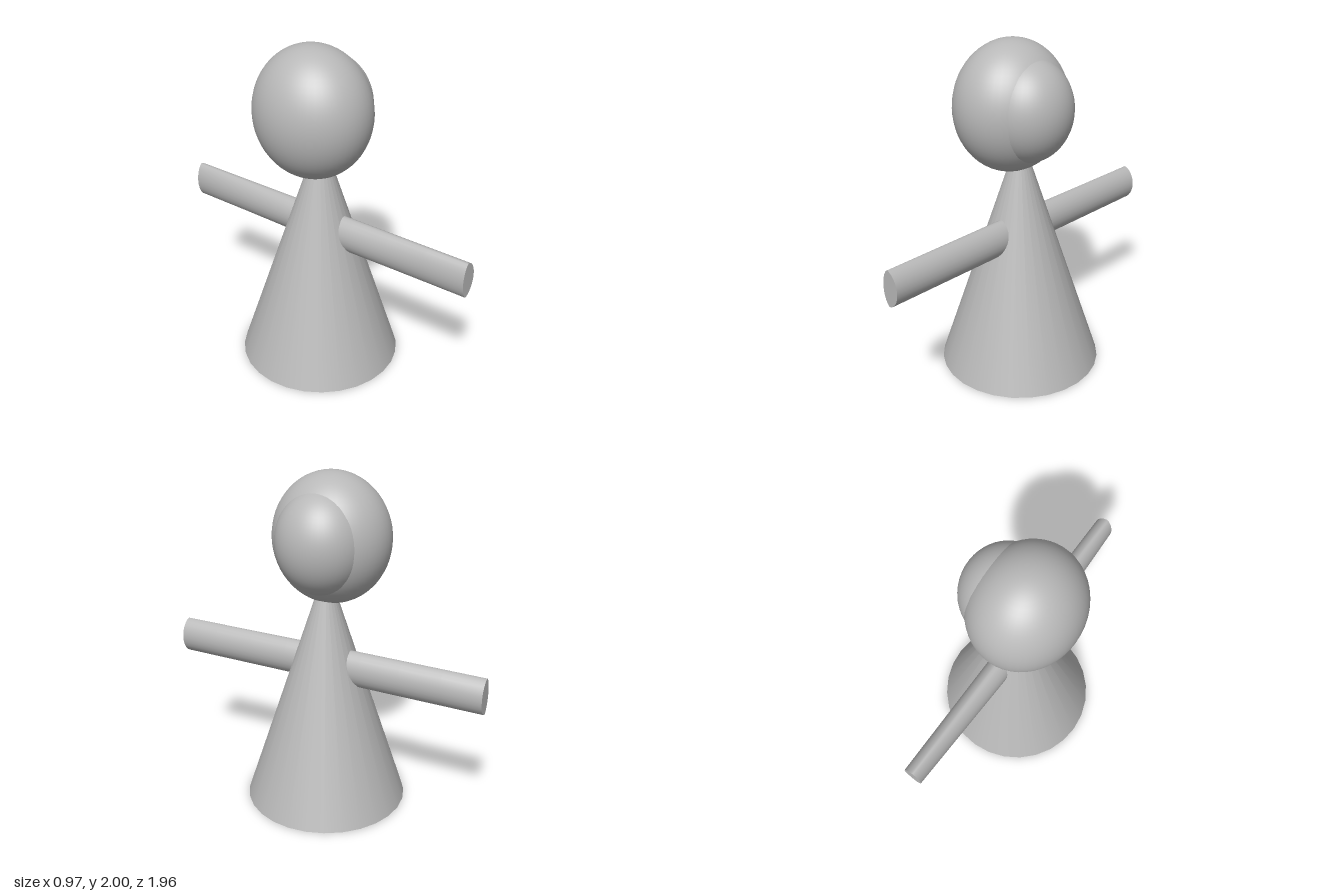
import * as THREE from 'three';

const ARM_REACH = 0.98;

// Ellipsoid from a unit sphere, with its poles at top and bottom.
function ellipsoid(name, material, center, radii) {
  const geometry = new THREE.SphereGeometry(1, 48, 32);
  geometry.scale(...radii);
  const mesh = new THREE.Mesh(geometry, material);
  mesh.name = name;
  mesh.position.set(...center);
  return mesh;
}

// One lens-shaped bar running through the body, swelling on its -x side near the middle.
function armGeometry() {
  const geometry = new THREE.CylinderGeometry(1, 1, 2 * ARM_REACH, 24, 8);
  geometry.rotateX(Math.PI / 2);
  const p = geometry.attributes.position;
  for (let i = 0; i < p.count; i++) {
    const x = p.getX(i);
    const swell = 0.082 - 0.039 * Math.abs(p.getZ(i));
    const lens = Math.sign(x) * Math.pow(Math.abs(x), 1.25);
    p.setX(i, 0.01 + lens * (x < 0 ? swell : 0.072));
    p.setY(i, 0.872 + 0.11 * p.getY(i));
  }
  geometry.computeVertexNormals();
  return geometry;
}

export function createModel() {
  const model = new THREE.Group();
  model.name = 'figurine';
  const clay = new THREE.MeshStandardMaterial({ color: 0xb8b8b8 });
  clay.name = 'grey clay';

  // Conical body, its tip buried in the head
  const body = new THREE.Mesh(new THREE.ConeGeometry(0.486, 1.48, 28), clay);
  body.name = 'body';
  body.position.y = 0.74;

  // Both arms
  const arms = new THREE.Mesh(armGeometry(), clay);
  arms.name = 'arms';

  // Head with the smaller face bulging out to +x
  const head = ellipsoid('head', clay, [-0.068, 1.62, 0], [0.312, 0.38, 0.35]);
  const face = ellipsoid('face', clay, [0.06, 1.622, 0], [0.255, 0.3, 0.265]);

  model.add(body, arms, head, face);
  return model;
}
